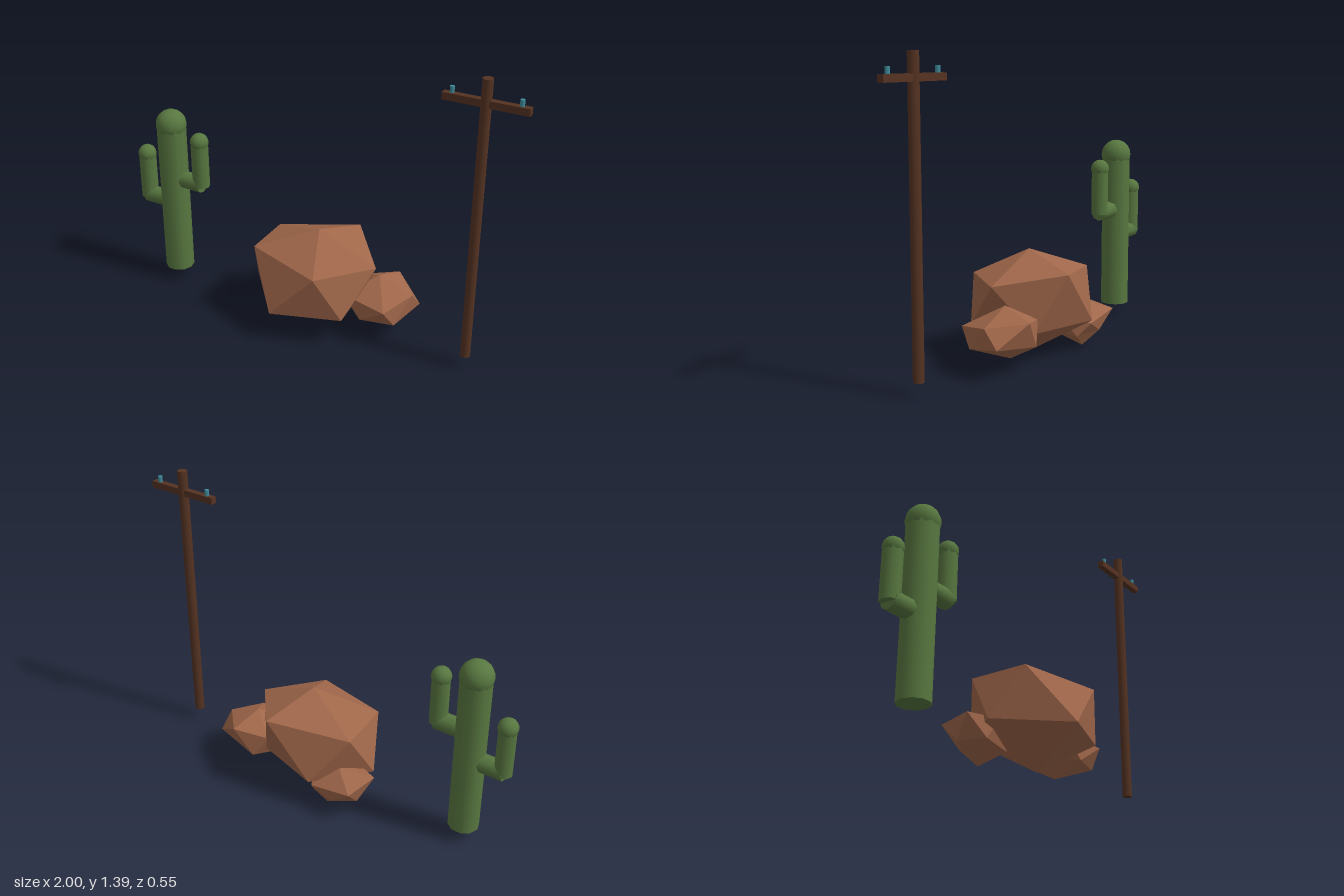
import * as THREE from 'three';

const mat = (name, color) => Object.assign(new THREE.MeshStandardMaterial({ color }), { name });

export function createModel() {
  const green = mat('cactus green', 0x587740);
  const wood = mat('dark wood', 0x553322);
  const stone = mat('red sandstone', 0xa0674a);
  const teal = mat('teal glass', 0x3f8b9a);
  stone.flatShading = true;

  const model = new THREE.Group();
  const group = (name) => {
    const g = new THREE.Group();
    g.name = name;
    model.add(g);
    return g;
  };
  const add = (parent, name, geometry, material, x, y, z = 0) => {
    const m = new THREE.Mesh(geometry, material);
    m.name = name;
    m.position.set(x, y, z);
    parent.add(m);
    return m;
  };
  // Upright cylinder standing between two heights
  const post = (parent, name, material, x, y0, y1, r, sides) =>
    add(parent, name, new THREE.CylinderGeometry(r, r, y1 - y0, sides).rotateY(Math.PI / 2),
      material, x, (y0 + y1) / 2);

  // Cactus: trunk and two bent arms, each with a round cap
  const cactus = group('cactus');
  const trunkX = -0.79;
  post(cactus, 'trunk', green, trunkX, 0.07, 0.86, 0.072, 10);
  add(cactus, 'trunkCap', new THREE.SphereGeometry(0.076, 14, 10), green, trunkX, 0.86);
  const arms = [
    { side: 'left', x: -0.625, y0: 0.565, y1: 0.8, stubY: 0.574, end: -0.617 },
    { side: 'right', x: -0.954, y0: 0.43, y1: 0.667, stubY: 0.441, end: -0.963 },
  ];
  for (const a of arms) {
    post(cactus, a.side + 'Arm', green, a.x, a.y0, a.y1, 0.043, 8);
    add(cactus, a.side + 'ArmCap', new THREE.SphereGeometry(0.046, 12, 8), green, a.x, a.y1);
    const stub = new THREE.CylinderGeometry(0.044, 0.044, Math.abs(a.end - trunkX), 8).rotateZ(Math.PI / 2);
    add(cactus, a.side + 'ArmStub', stub, green, (a.end + trunkX) / 2, a.stubY);
  }

  // Utility pole: post, crossarm and two insulators
  const pole = group('utilityPole');
  const poleX = 0.811;
  post(pole, 'polePost', wood, poleX, 0.07, 1.4, 0.024, 8);
  add(pole, 'crossarm', new THREE.BoxGeometry(0.375, 0.032, 0.031), wood, poleX, 1.295);
  for (const s of [-1, 1])
    post(pole, 'insulator', teal, poleX + s * 0.148, 1.305, 1.34, 0.0105, 8);

  // Boulder: twenty facets between a top point, two rings of five and a bottom point
  const boulder = (parent, name, top, upper, lower, bottom) => {
    const points = [top, ...upper, ...lower, bottom].flat();
    const index = [];
    for (let i = 0; i < 5; i++) {
      const j = (i + 1) % 5;
      const [u, v, l, m] = [1 + i, 1 + j, 6 + i, 6 + j];
      index.push(0, v, u, u, v, l, v, m, l, 11, l, m);
    }
    const indexed = new THREE.BufferGeometry();
    indexed.setAttribute('position', new THREE.Float32BufferAttribute(points, 3));
    indexed.setIndex(index);
    const faceted = indexed.toNonIndexed();
    faceted.computeVertexNormals();
    add(parent, name, faceted, stone, 0, 0);
  };

  const rocks = group('rocks');
  boulder(rocks, 'largeBoulder', [0.04, 0.497, -0.015],
    [[0.144, 0.374, 0.228], [-0.238, 0.393, 0.123], [-0.26, 0.38, -0.145], [0.12, 0.418, -0.28], [0.34, 0.372, -0.018]],
    [[-0.065, 0.154, 0.272], [-0.31, 0.157, -0.016], [-0.11, 0.16, -0.266], [0.22, 0.155, -0.165], [0.257, 0.157, 0.16]],
    [0.04, 0.006, -0.008]);
  boulder(rocks, 'leftBoulder', [0.328, 0.298, -0.085],
    [[0.43, 0.205, 0.077], [0.2, 0.22, 0.04], [0.2, 0.22, -0.17], [0.362, 0.248, -0.238], [0.496, 0.232, -0.095]],
    [[0.298, 0.118, 0.055], [0.17, 0.12, -0.08], [0.27, 0.117, -0.21], [0.505, 0.15, -0.167], [0.457, 0.116, 0.015]],
    [0.297, 0.052, -0.09]);
  boulder(rocks, 'rightBoulder', [-0.2, 0.222, -0.15],
    [[-0.05, 0.18, -0.12], [-0.2, 0.19, -0.03], [-0.36, 0.188, -0.088], [-0.327, 0.17, -0.252], [-0.12, 0.14, -0.255]],
    [[-0.09, 0.08, -0.08], [-0.27, 0.09, -0.05], [-0.32, 0.085, -0.17], [-0.22, 0.085, -0.24], [-0.085, 0.075, -0.2]],
    [-0.16, 0.016, -0.182]);

  return model;
}
